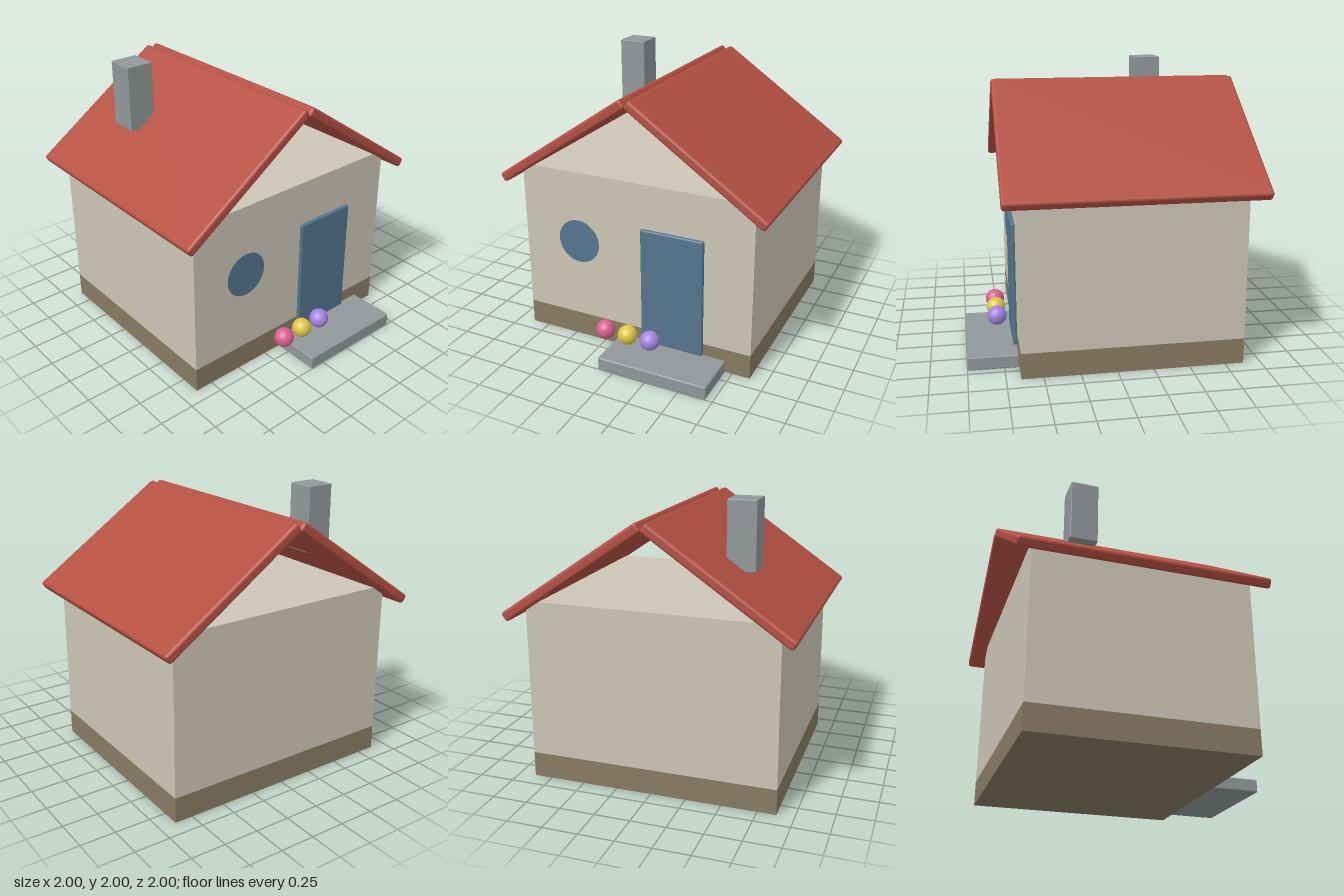
import * as THREE from 'three';
import { RoundedBoxGeometry } from 'three/addons/geometries/RoundedBoxGeometry.js';

function material(name, color) {
  const m = new THREE.MeshStandardMaterial({ color });
  m.name = name;
  return m;
}

export function createModel() {
  const house = new THREE.Group();
  house.name = 'house';

  const cream = material('cream plaster', 0xcdc5b6);
  const brown = material('brown base', 0x877b62);
  const red = material('red roof', 0xb45043);
  const blue = material('blue paint', 0x53758d);
  const grey = material('grey stone', 0x919799);
  const pink = material('pink flower', 0xd9608f);
  const yellow = material('yellow flower', 0xdcc548);
  const purple = material('purple flower', 0xa582e2);

  function add(name, geometry, mat, x, y, z) {
    const mesh = new THREE.Mesh(geometry, mat);
    mesh.name = name;
    mesh.position.set(x, y, z);
    house.add(mesh);
    return mesh;
  }

  // Box given by its limits on each axis, rounded when a radius is given
  function box(name, mat, [x0, x1], [y0, y1], [z0, z1], radius = 0) {
    const size = [x1 - x0, y1 - y0, z1 - z0];
    const geometry = radius
      ? new RoundedBoxGeometry(...size, 2, radius)
      : new THREE.BoxGeometry(...size);
    return add(name, geometry, mat, (x0 + x1) / 2, (y0 + y1) / 2, (z0 + z1) / 2);
  }

  // Walls with a flush darker band at the bottom
  box('wallBase', brown, [-0.88, 0.88], [0, 0.18], [-0.88, 0.65]);
  box('walls', cream, [-0.88, 0.88], [0.18, 1.295], [-0.88, 0.65]);

  // Two sloping roof slabs that meet at the ridge, gables left open
  for (const side of [-1, 1]) {
    const slab = add(side < 0 ? 'roofRight' : 'roofLeft',
      new RoundedBoxGeometry(1.183, 0.07, 1.76, 2, 0.02), red, side * 0.5, 1.532, -0.12);
    slab.rotation.z = -side * THREE.MathUtils.degToRad(34.4);
  }

  // Chimney
  box('chimney', grey, [-0.63, -0.43], [1.53, 2], [-0.57, -0.37], 0.006);

  // Door, round window and doorstep
  box('door', blue, [0.06, 0.53], [0.05, 0.972], [0.645, 0.677], 0.012);
  add('window', new THREE.CircleGeometry(0.163, 24), blue, -0.44, 0.77, 0.653);
  box('doorstep', grey, [-0.115, 0.7], [0, 0.095], [0.65, 1], 0.01);

  // Row of round flowers in front of the wall
  [pink, yellow, purple].forEach((mat, i) => {
    add('flower' + (i + 1), new THREE.SphereGeometry(0.07, 24, 16), mat, (i - 1) * 0.176, 0.18, 0.77);
  });

  return house;
}
